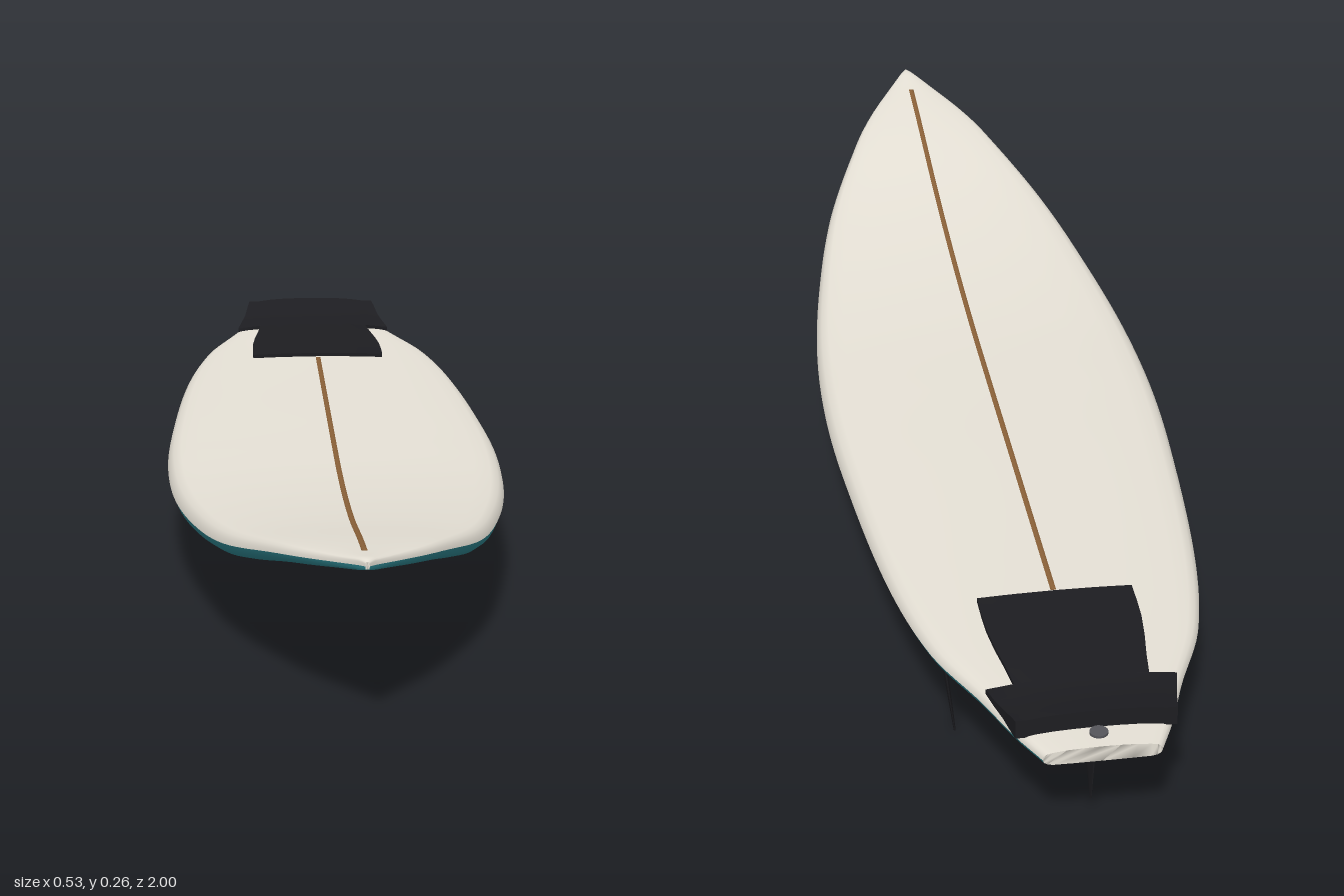
import * as THREE from 'three';
import { toCreasedNormals } from 'three/addons/utils/BufferGeometryUtils.js';

// Board stations from tail to nose: z, half width, bottom height, deck height
const STATIONS = [
  [-1, 0.083, 0.157, 0.181], [-0.93, 0.112, 0.15, 0.179], [-0.84, 0.142, 0.142, 0.177],
  [-0.7, 0.195, 0.13, 0.174], [-0.5, 0.232, 0.118, 0.173], [-0.2, 0.258, 0.109, 0.173],
  [0, 0.265, 0.107, 0.173], [0.2, 0.256, 0.111, 0.175], [0.4, 0.229, 0.126, 0.186],
  [0.6, 0.186, 0.154, 0.207], [0.8, 0.114, 0.203, 0.238], [0.87, 0.081, 0.219, 0.248],
  [0.94, 0.04, 0.235, 0.257], [0.985, 0.012, 0.245, 0.263], [1, 0.003, 0.25, 0.261],
];
// Half sections: fraction of half width, fraction of thickness
const DECK = [[1, 0.4], [0.992, 0.55], [0.965, 0.7], [0.92, 0.79], [0.82, 0.86], [0.6, 0.94], [0.3, 0.985], [0, 1]];
const BOTTOM = [[0, 0], [0.5, 0.005], [0.82, 0.02], [0.92, 0.08], [0.98, 0.22], [1, 0.4]];

// Smooth interpolation through the stations
function station(z) {
  const n = STATIONS.length;
  let i = 0;
  while (i < n - 2 && z > STATIONS[i + 1][0]) i++;
  const a = STATIONS[i], b = STATIONS[i + 1], h = b[0] - a[0], t = (z - a[0]) / h;
  const slope = (k, c) => {
    const p = STATIONS[Math.max(k - 1, 0)], q = STATIONS[Math.min(k + 1, n - 1)];
    return (q[c] - p[c]) / (q[0] - p[0]);
  };
  const [w, bot, top] = [1, 2, 3].map((c) =>
    (2 * t ** 3 - 3 * t * t + 1) * a[c] + (t ** 3 - 2 * t * t + t) * h * slope(i, c) +
    (3 * t * t - 2 * t ** 3) * b[c] + (t ** 3 - t * t) * h * slope(i + 1, c));
  return { w, bot, top };
}

// Height of the deck at any point
function deckY(x, z) {
  const s = station(z), u = Math.min(Math.abs(x) / s.w, 0.92);
  let k = 0;
  while (k < DECK.length - 2 && DECK[k + 1][0] > u) k++;
  const [a, b] = [DECK[k], DECK[k + 1]];
  const v = a[1] + (b[1] - a[1]) * (u - a[0]) / (b[0] - a[0]);
  return s.bot + v * (s.top - s.bot);
}

// Skin over rings of points; closed rings also get end caps
function loft(rings, closed) {
  const n = rings[0].length, idx = [];
  for (let i = 0; i < rings.length - 1; i++) {
    for (let j = 0; j < (closed ? n : n - 1); j++) {
      const k = (j + 1) % n, a = i * n + j, b = i * n + k;
      idx.push(a, b, a + n, b, b + n, a + n);
    }
  }
  if (closed) {
    const o = (rings.length - 1) * n;
    for (let j = 0; j < n / 2 - 1; j++) {
      const a = j, b = j + 1, c = n - 2 - j, d = n - 1 - j;
      idx.push(a, c, b, a, d, c, o + a, o + b, o + c, o + a, o + c, o + d);
    }
  }
  const g = new THREE.BufferGeometry();
  g.setAttribute('position', new THREE.Float32BufferAttribute(rings.flat(2), 3));
  g.setIndex(idx);
  g.computeVertexNormals();
  return g;
}

// Mirrored cross-section of the board at z
const mirrored = (half) => half.map(([u, v]) => [-u, v]).reverse();
const deckArc = [...DECK, ...mirrored(DECK).slice(1)];
const bottomArc = [...mirrored(BOTTOM), ...BOTTOM.slice(1)];
function section(arc, z) {
  const s = station(z);
  return arc.map(([u, v]) => [u * s.w, s.bot + v * (s.top - s.bot), z]);
}

// Thin sheet lying on the deck; rows are [z, half width, lift]
function deckSheet(rows, thickness, across) {
  return loft(rows.map(([z, w, lift = 0]) => {
    const top = [], under = [];
    for (let j = 0; j <= across; j++) {
      const x = w * (1 - 2 * j / across), y = deckY(x, z);
      top.push([x, y + thickness + lift, z]);
      under.unshift([x, y - 0.002, z]);
    }
    return [...top, ...under];
  }), true);
}

// Swept fin, built from tip to root around its own root centre
function finGeometry(chord, depth, sweep) {
  const rings = [];
  for (let i = 0; i <= 10; i++) {
    const t = 1 - i / 10;
    const lead = chord / 2 - sweep * t ** 1.6, trail = -chord / 2 + chord * 0.27 * t;
    const thick = 0.0045 * (1 - 0.65 * t);
    const ring = [];
    for (let j = 0; j < 12; j++) {
      const a = (j + 0.5) / 12 * Math.PI * 2;
      ring.push([Math.sin(a) * thick, -depth * t, (lead + trail) / 2 + Math.cos(a) * (lead - trail) / 2]);
    }
    rings.push(ring);
  }
  return toCreasedNormals(loft(rings, true), 0.9);
}

export function createModel() {
  const model = new THREE.Group();
  const mat = (color) => new THREE.MeshStandardMaterial({ color });
  const cream = mat(0xe6e1d6), teal = mat(0x2c808a), black = mat(0x1d1d21), brown = mat(0x8c6239), grey = mat(0x55555a);
  const add = (name, geometry, material) => {
    const m = new THREE.Mesh(geometry, material);
    m.name = name;
    model.add(m);
    return m;
  };

  // Board shell
  const zs = Array.from({ length: 81 }, (_, i) => -1 + i / 40);
  zs.splice(80, 0, 0.985, 0.993);
  add('deck', loft(zs.map((z) => section(deckArc, z))), cream);
  add('bottom', loft(zs.map((z) => section(bottomArc, z))), teal);
  for (const [name, z] of [['tailEnd', -1], ['noseEnd', 1]]) {
    const ring = [...section(bottomArc, z), ...section(deckArc, z)];
    add(name, loft([ring], true), cream);
  }

  // Stringer line along the middle of the deck
  const line = Array.from({ length: 62 }, (_, i) => [-0.6 + i * 0.025, 0.004]);
  add('stringer', deckSheet(line, 0.001, 2), brown);

  // Traction pad with side wings and a raised kick at the back
  const pad = [[-0.952, 0.113, 0.021], [-0.93, 0.117, 0.016], [-0.9, 0.122, 0.008], [-0.87, 0.129, 0.003],
    [-0.836, 0.136], [-0.835, 0.096], [-0.79, 0.101], [-0.74, 0.108], [-0.69, 0.113], [-0.65, 0.114], [-0.61, 0.114]];
  add('tractionPad', toCreasedNormals(deckSheet(pad, 0.006, 12), 0.6), black);

  // Leash plug
  const plug = add('leashPlug', new THREE.CylinderGeometry(0.013, 0.013, 0.012, 20), grey);
  plug.position.set(0, deckY(0, -0.968) - 0.002, -0.968);

  // Fins: one in the middle, two canted and toed-in at the sides
  add('centreFin', finGeometry(0.105, 0.118, 0.07), black).position.set(0, 0.152, -0.897);
  for (const side of [1, -1]) {
    const fin = add(side > 0 ? 'leftFin' : 'rightFin', finGeometry(0.115, 0.131, 0.078), black);
    fin.position.set(side * 0.173, 0.133, -0.662);
    fin.rotation.set(0, side * -0.06, side * -0.12);
  }
  return model;
}
